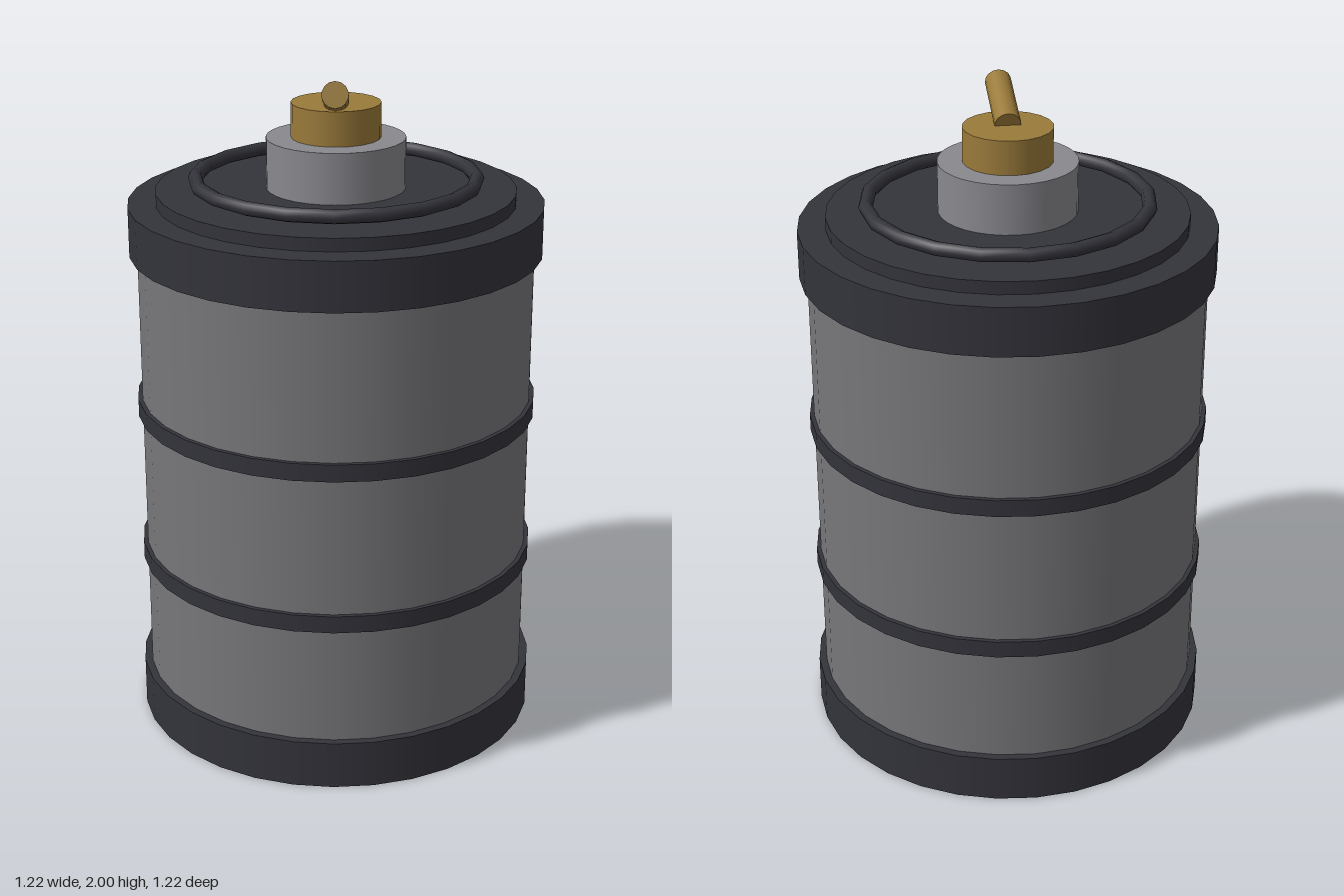
import * as THREE from 'three';

function material(name, color) {
  const m = new THREE.MeshStandardMaterial({ color });
  m.name = name;
  return m;
}

export function createModel() {
  const dark = material('dark rubber', 0x33333b);
  const steel = material('grey steel', 0x77777a);
  const collarGrey = material('light grey metal', 0x89888e);
  const brass = material('brass', 0x9a7a3a);

  const model = new THREE.Group();
  model.name = 'canister';

  const add = (name, geometry, mat) => {
    const mesh = new THREE.Mesh(geometry, mat);
    mesh.name = name;
    model.add(mesh);
    return mesh;
  };

  // Upright disc or drum between two heights
  const drum = (name, radius, bottom, top, sides, mat) => {
    const mesh = add(name, new THREE.CylinderGeometry(radius, radius, top - bottom, sides), mat);
    mesh.position.y = (bottom + top) / 2;
    return mesh;
  };

  // Barrel with end caps and two hoops
  drum('body', 0.585, 0.1, 1.5, 32, steel);
  drum('bottomCap', 0.608, 0, 0.145, 32, dark);
  drum('topCap', 0.608, 1.465, 1.61, 32, dark);
  drum('lowerBand', 0.598, 0.502, 0.554, 32, dark);
  drum('upperBand', 0.598, 0.97, 1.022, 32, dark);

  // Lid with its raised ring
  drum('lid', 0.526, 1.6, 1.648, 32, dark);
  const ring = add('lidRing', new THREE.TorusGeometry(0.41, 0.021, 8, 20), dark);
  ring.rotation.x = Math.PI / 2;
  ring.position.y = 1.674;

  // Valve: collar, stem and tilted spout pointing forward
  drum('collar', 0.203, 1.64, 1.797, 32, collarGrey);
  drum('valveStem', 0.131, 1.79, 1.898, 20, brass);
  const spout = add('spout', new THREE.CylinderGeometry(0.038, 0.038, 0.217, 14), brass);
  spout.rotation.x = Math.PI / 2 - 0.3;
  spout.position.set(0, 1.932, 0.106);

  return model;
}
